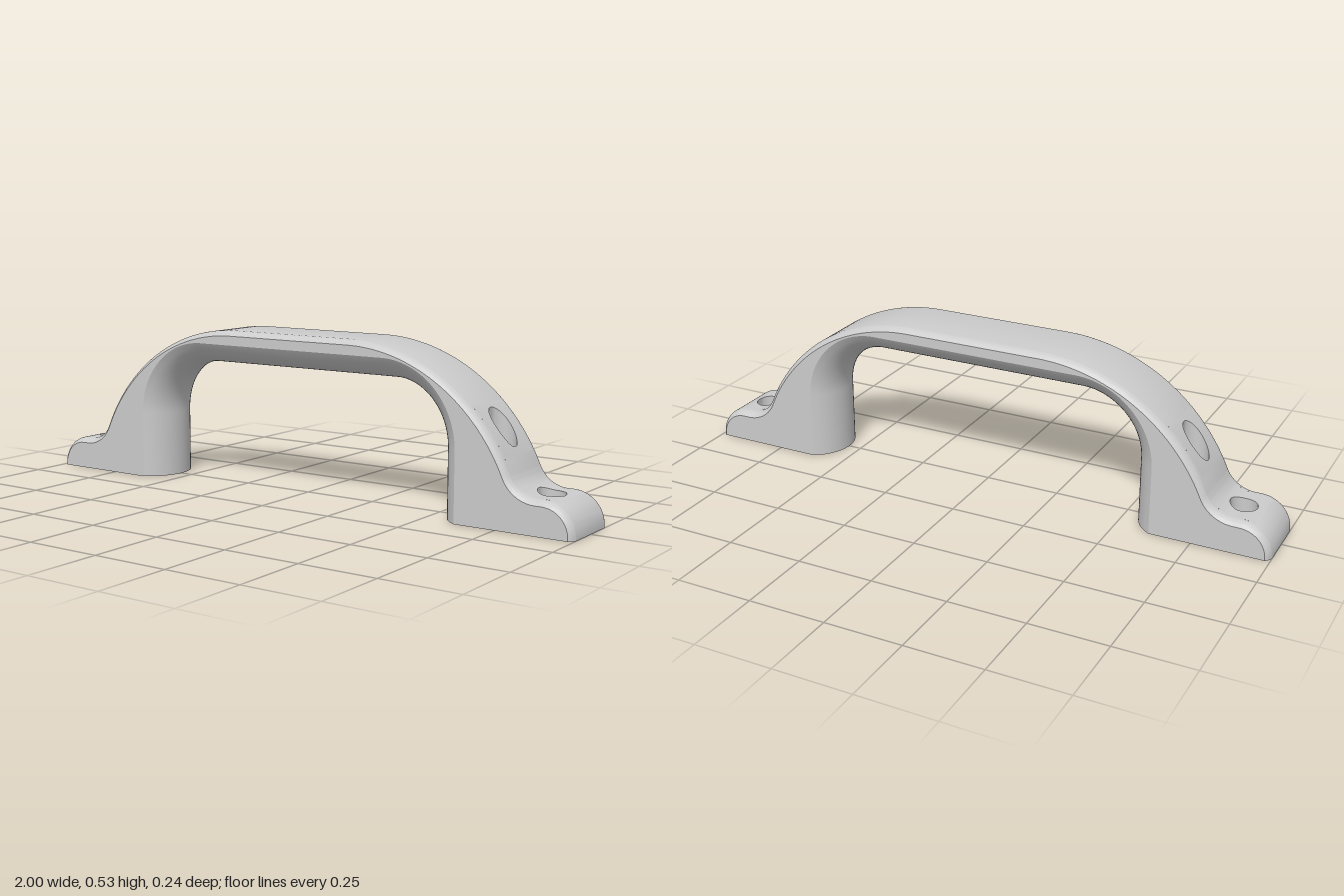
import * as THREE from 'three';
import { mergeGeometries, toCreasedNormals } from 'three/addons/utils/BufferGeometryUtils.js';

const HALF = 0.12, FLAT = 0.09;               // half width, half width of the flat crown
const BIG = { x: 0.23, y: -0.083, r: 0.61 };  // shoulder arc
const FILLET = { y: 0.206, r: 0.1 };          // concave arc between shoulder and foot
FILLET.x = BIG.x + Math.sqrt((BIG.r + FILLET.r) ** 2 - (FILLET.y - BIG.y) ** 2);
const JOIN = Math.atan2(FILLET.y - BIG.y, FILLET.x - BIG.x);
const FOOT = { x: 0.9, y: 0.006, r: 0.1 };
const HOLES = [0.71, 0.875], PATCH = 0.055, BORE = 0.043, SHANK = 0.027, FLOOR = 0.055;

const arc = (c, r, a0, a1, n) => Array.from({ length: n + 1 }, (_, i) => {
  const a = a0 + (a1 - a0) * i / n;
  return [c.x + r * Math.cos(a), c.y + r * Math.sin(a)];
});

// Outer profile of one half, from the foot tip to the middle, moved inwards by d
const outer = (d) => [
  [1 - d, 0],
  ...arc(FOOT, FOOT.r - d, 0, Math.PI / 2, 14),
  ...arc(FILLET, FILLET.r + d, -Math.PI / 2, JOIN - Math.PI, 14),
  ...arc(BIG, BIG.r - d, JOIN, Math.PI / 2, 40),
  [0, BIG.y + BIG.r - d],
];

// Inner profile of one half, bulging by h into the opening
const inner = (h) => [
  [0.615 - h, 0],
  ...arc({ x: 0.355, y: 0.22 }, 0.26 - h, 0, Math.PI / 2, 28),
  [0, 0.48 - h],
];
const GRIP = (HALF ** 2 + 0.07 ** 2) / 0.14;
const bulge = (z) => Math.sqrt(GRIP ** 2 - z * z) - (GRIP - 0.07);

// Height of the outer surface over the drilled area
function topY(x) {
  if (x < BIG.x + BIG.r * Math.cos(JOIN)) return BIG.y + Math.sqrt(BIG.r ** 2 - (x - BIG.x) ** 2);
  if (x < FILLET.x) return FILLET.y - Math.sqrt(FILLET.r ** 2 - (x - FILLET.x) ** 2);
  return x < FOOT.x ? FOOT.y + FOOT.r : FOOT.y + Math.sqrt(FOOT.r ** 2 - (x - FOOT.x) ** 2);
}

// Surface through rows of points; skip(a, b) leaves out columns
function grid(rows, skip = () => false) {
  const pos = [];
  for (let i = 0; i < rows.length - 1; i++) {
    for (let j = 0; j < rows[i].length - 1; j++) {
      const a = rows[i][j], b = rows[i][j + 1], c = rows[i + 1][j + 1], d = rows[i + 1][j];
      if (!skip(a, b)) pos.push(...a, ...b, ...c, ...a, ...c, ...d);
    }
  }
  return new THREE.BufferGeometry().setAttribute('position', new THREE.Float32BufferAttribute(pos, 3));
}

// Position-only, unindexed copy
function plain(geo) {
  const g = geo.index ? geo.toNonIndexed() : geo;
  return new THREE.BufferGeometry().setAttribute('position', g.getAttribute('position').clone());
}

// Mirrored copy with the corner order put right
function mirror(geo, sx, sz) {
  const g = geo.clone().scale(sx, 1, sz);
  const p = g.getAttribute('position').array;
  for (let i = 0; i < p.length; i += 9) {
    for (let k = 0; k < 3; k++) [p[i + k], p[i + 6 + k]] = [p[i + 6 + k], p[i + k]];
  }
  return g;
}

const at = (pts, z) => pts.map(([x, y]) => [x, y, z]);

export function createModel() {
  const group = new THREE.Group();
  const material = new THREE.MeshStandardMaterial({ color: 0xcccccc });
  const add = (name, parts) => {
    const half = mergeGeometries(parts.map(plain));
    const geo = toCreasedNormals(mergeGeometries([half, mirror(half, -1, 1)]), 0.42);
    const mesh = new THREE.Mesh(geo, material);
    mesh.name = name;
    group.add(mesh);
  };

  // Rounded long edges: depth d below the crown at each z
  const edge = [];
  const edgeR = 0.036;
  for (let i = 0; i <= 6; i++) {
    const a = Math.asin(0.03 / edgeR) * i / 6;
    edge.push([FLAT + edgeR * Math.sin(a), edgeR * (1 - Math.cos(a))]);
  }
  const sideDepth = edge[6][1];
  const edgeStrip = grid(edge.map(([z, d]) => at(outer(d), z)));

  // Flat crown, left open where the drilled patches go
  const bounds = HOLES.flatMap((x) => [x - PATCH, x + PATCH]).map((x) => [x, topY(x)]);
  const crownPath = [...outer(0), ...bounds].sort((a, b) => b[0] - a[0]);
  const inPatch = (a, b) => HOLES.some((x) => Math.abs((a[0] + b[0]) / 2 - x) < PATCH);
  const crown = grid([at(crownPath, -FLAT), at(crownPath, FLAT)], inPatch);

  // Directions round a hole, spaced along the rectangular patch edge
  const corners = [[PATCH, -FLAT], [PATCH, FLAT], [-PATCH, FLAT], [-PATCH, -FLAT]];
  const rim = [];
  for (let k = 0; k < 4; k++) {
    const [a, b] = [corners[k], corners[(k + 1) % 4]];
    for (let i = 0; i < 16; i++) rim.push([a[0] + (b[0] - a[0]) * i / 16, a[1] + (b[1] - a[1]) * i / 16]);
  }
  rim.push(rim[0]);
  const ring = (cx, r, y) => rim.map(([x, z]) => {
    const s = r / Math.hypot(x, z);
    return [cx + x * s, y ?? topY(cx + x * s), z * s];
  });

  // Crown patches from the hole rim out to the rectangle
  const patches = HOLES.map((cx) => {
    const circle = ring(cx, BORE);
    return grid(Array.from({ length: 9 }, (_, i) => rim.map(([x, z], j) => {
      const t = i / 8;
      const px = circle[j][0] * (1 - t) + (cx + x) * t;
      return [px, topY(px), circle[j][2] * (1 - t) + z * t];
    })));
  });
  add('outerSurface', [crown, edgeStrip, mirror(edgeStrip, 1, -1), ...patches]);

  // Stepped screw holes
  add('screwHoles', HOLES.map((cx) => grid([
    ring(cx, SHANK, 0), ring(cx, SHANK, FLOOR), ring(cx, BORE, FLOOR), ring(cx, BORE),
  ])));

  // Flat sides
  const outline = [...outer(sideDepth), ...inner(0).reverse()].map((p) => new THREE.Vector2(...p));
  const side = plain(new THREE.ShapeGeometry(new THREE.Shape(outline)).translate(0, 0, HALF));
  add('sides', [side, mirror(side, 1, -1)]);

  // Rounded grip surface facing the opening
  const zs = Array.from({ length: 21 }, (_, i) => HALF * (1 - i / 10));
  add('innerGrip', [grid(zs.map((z) => at(inner(bulge(z)), z)))]);

  // Underside of the feet
  const tip = [...edge.map(([z, d]) => [1 - d, -z]).reverse(), ...edge.map(([z, d]) => [1 - d, z])];
  const sole = new THREE.Shape([...tip, ...zs.map((z) => [0.615 - bulge(z), z])]
    .map((p) => new THREE.Vector2(...p)));
  for (const cx of HOLES) sole.holes.push(new THREE.Path().absarc(cx, 0, SHANK, 0, Math.PI * 2, true));
  add('footBase', [new THREE.ShapeGeometry(sole, 24).rotateX(Math.PI / 2)]);

  return group;
}
